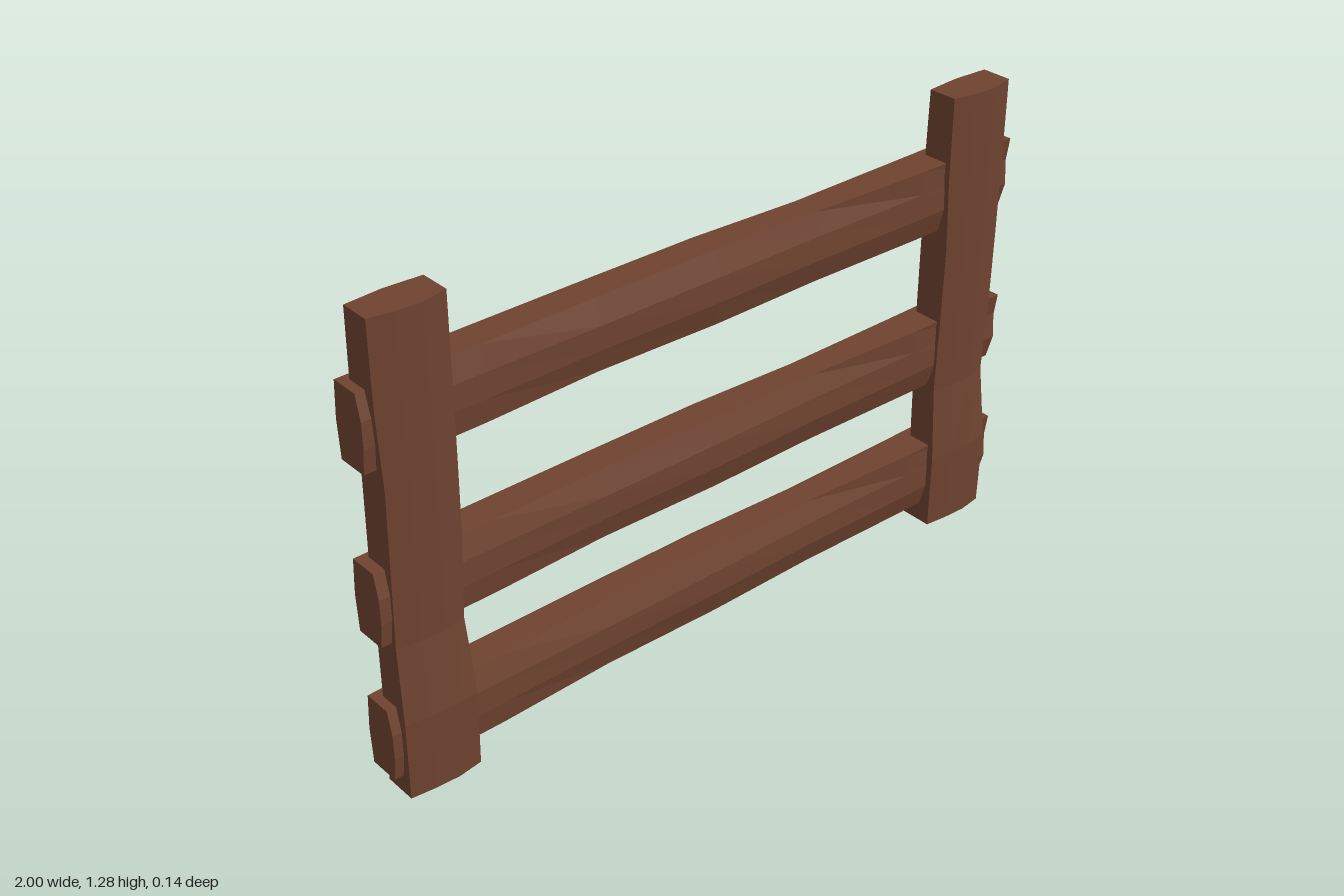
import * as THREE from 'three';

const wood = new THREE.MeshStandardMaterial({ color: 0x6f4330, flatShading: true });

// Loft a hewn plank along x. Each station:
// [x, top y, bottom y, four front z values from top to bottom, back z]
function plank(stations) {
  const rings = stations.map(([x, hi, lo, f0, f1, f2, f3, back]) => [
    [hi, f0], [hi * 0.36, f1], [lo * 0.32, f2], [lo, f3],
    [lo, back + 0.006], [0, back], [hi, back + 0.008],
  ].map(([y, z]) => [x, y, z]));
  const n = rings[0].length;
  const pos = [];
  const tri = (...pts) => pts.forEach((p) => pos.push(...p));

  // Long faces
  for (let k = 0; k < rings.length - 1; k++) {
    for (let i = 0; i < n; i++) {
      const j = (i + 1) % n, a = rings[k], b = rings[k + 1];
      tri(a[i], a[j], b[j]);
      tri(a[i], b[j], b[i]);
    }
  }
  // End caps
  const first = rings[0], last = rings[rings.length - 1];
  const middle = (r) => [r[0][0], 0, -0.01];
  for (let i = 0; i < n; i++) {
    const j = (i + 1) % n;
    tri(middle(last), last[i], last[j]);
    tri(middle(first), first[j], first[i]);
  }
  const geo = new THREE.BufferGeometry();
  geo.setAttribute('position', new THREE.Float32BufferAttribute(pos, 3));
  geo.computeVertexNormals();
  return geo;
}

export function createModel() {
  const group = new THREE.Group();
  const add = (name, geo, x, y) => {
    const mesh = new THREE.Mesh(geo, wood);
    mesh.name = name;
    mesh.position.set(x, y, 0);
    group.add(mesh);
  };

  // Three horizontal rails behind the posts
  const rail = plank([
    [-1, 0.1, -0.1, 0.025, 0.04, 0.04, 0.03, -0.062],
    [-0.68, 0.1, -0.097, 0.025, 0.04, 0.04, 0.03, -0.068],
    [-0.36, 0.1, -0.09, 0.022, 0.042, 0.04, 0.025, -0.071],
    [0, 0.1, -0.1, 0.02, 0.04, 0.04, 0.02, -0.072],
    [0.33, 0.092, -0.099, 0.015, 0.033, 0.036, 0.015, -0.07],
    [0.68, 0.1, -0.099, 0.04, 0.04, 0.04, 0.02, -0.064],
    [1, 0.1, -0.1, 0.042, 0.032, 0.036, 0.016, -0.07],
  ]);
  [['bottomRail', 0.155], ['middleRail', 0.54], ['topRail', 1.0]]
    .forEach(([name, y]) => add(name, rail, 0, y));

  // Two upright posts, the same kind of plank turned on end
  const post = plank([
    [0, 0.1, -0.1, 0.055, 0.062, 0.065, 0.055, -0.045],
    [0.22, 0.1, -0.1, 0.058, 0.068, 0.071, 0.062, -0.036],
    [0.43, 0.097, -0.091, 0.045, 0.054, 0.058, 0.042, -0.04],
    [0.64, 0.095, -0.1, 0.05, 0.058, 0.06, 0.045, -0.045],
    [0.85, 0.091, -0.1, 0.052, 0.062, 0.064, 0.05, -0.046],
    [1.06, 0.1, -0.1, 0.054, 0.066, 0.068, 0.053, -0.042],
    [1.28, 0.1, -0.1, 0.055, 0.067, 0.07, 0.055, -0.035],
  ]).rotateZ(Math.PI / 2);
  add('rightPost', post, -0.875, 0);
  add('leftPost', post, 0.86, 0);

  return group;
}
